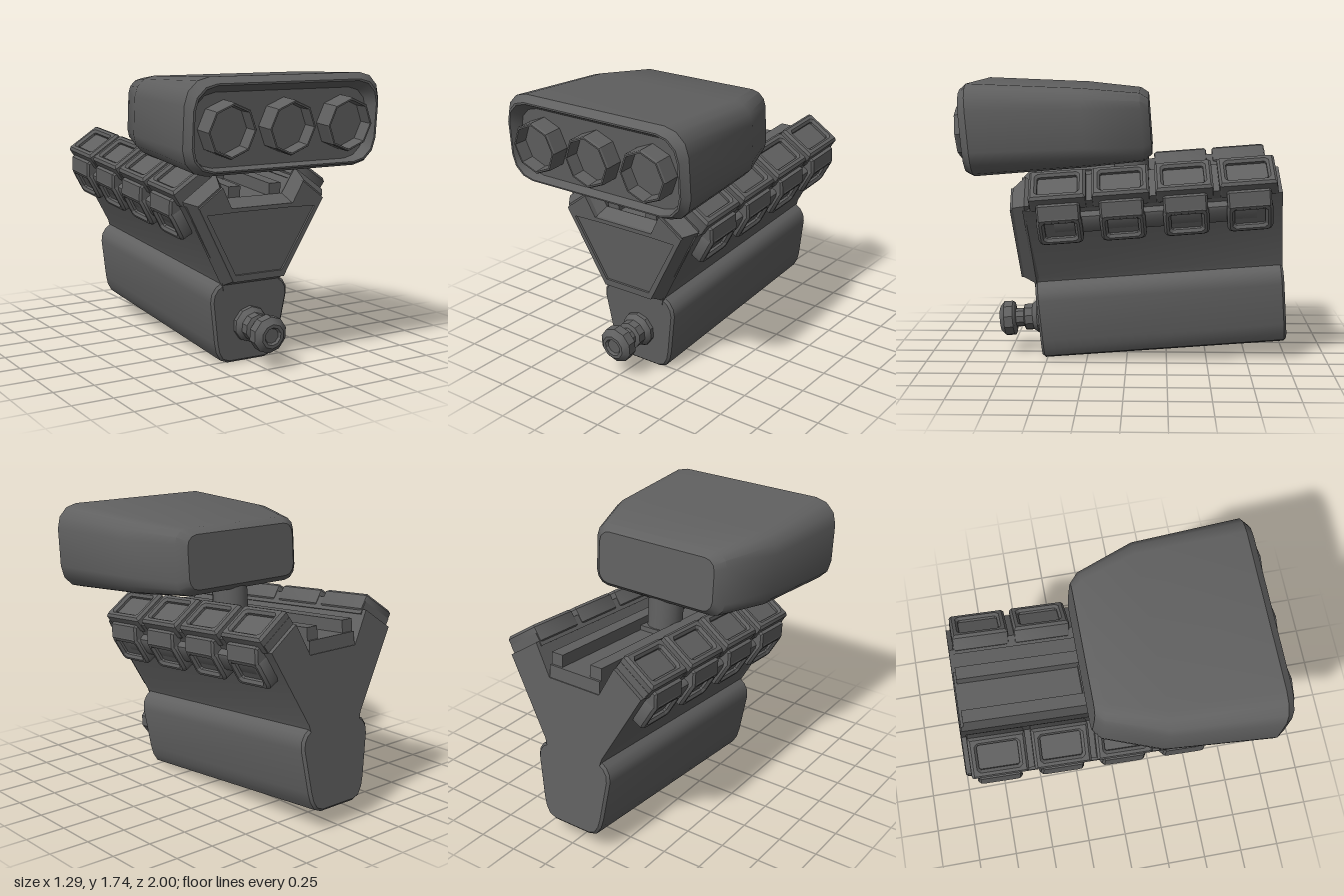
import * as THREE from 'three';
import { toCreasedNormals } from 'three/addons/utils/BufferGeometryUtils.js';

const TILT = 0.078;
const material = new THREE.MeshStandardMaterial({ color: 0x606060, side: THREE.DoubleSide });

function add(parent, name, geometry, crease = 0.5) {
  const mesh = new THREE.Mesh(toCreasedNormals(geometry, crease), material);
  mesh.name = name;
  parent.add(mesh);
  return mesh;
}

// closed outline from its right half, listed bottom to top
function mirrored(half) {
  const left = half.map(([x, y]) => [-x, y]).reverse();
  return new THREE.Shape([...half, ...left].map(([x, y]) => new THREE.Vector2(x, y)));
}

// extrusion along z whose bevels stay inside the given outline and length
function extrude(shape, z0, z1, bevel = 0, thick = bevel) {
  const geometry = new THREE.ExtrudeGeometry(shape, {
    depth: z1 - z0 - 2 * thick, bevelEnabled: bevel > 0, bevelSegments: 1,
    bevelSize: bevel, bevelOffset: -bevel, bevelThickness: thick,
  });
  return geometry.translate(0, 0, z0 + thick);
}

// rectangle with each corner cut by the given number of segments
function cutRect(hw, y0, y1, r, segments) {
  const points = [];
  const corners = [[hw - r, y0 + r, -1], [hw - r, y1 - r, 0], [r - hw, y1 - r, 1], [r - hw, y0 + r, 2]];
  for (const [cx, cy, q] of corners) {
    for (let i = 0; i <= segments; i++) {
      const a = (q + i / segments) * Math.PI / 2;
      points.push(new THREE.Vector2(cx + r * Math.cos(a), cy + r * Math.sin(a)));
    }
  }
  return points;
}

// skin through cross-sections [z, halfWidth, bottom, top, corner], front to back, capped at both ends
function loft(sections) {
  const n = 16, position = [], index = [];
  for (const [z, hw, y0, y1, r] of sections) {
    for (const p of cutRect(hw, y0, y1, r, 3)) position.push(p.x, p.y, z);
  }
  for (let s = 0; s < sections.length - 1; s++) {
    for (let i = 0; i < n; i++) {
      const a = s * n + i, b = s * n + (i + 1) % n;
      index.push(a, a + n, b, b, a + n, b + n);
    }
  }
  const last = (sections.length - 1) * n;
  for (let i = 1; i < n - 1; i++) {
    index.push(0, i, i + 1, last, last + i + 1, last + i);
  }
  const geometry = new THREE.BufferGeometry();
  geometry.setAttribute('position', new THREE.Float32BufferAttribute(position, 3));
  geometry.setIndex(index);
  return geometry;
}

// raised block with a sunken panel, standing up along +y
function framedBlock(parent, name, width, length, height, rim, corner) {
  const group = new THREE.Group();
  group.name = name;
  const shape = new THREE.Shape(cutRect(width / 2, -length / 2, length / 2, corner, 2));
  shape.holes.push(new THREE.Path(cutRect(width / 2 - rim, rim - length / 2, length / 2 - rim, 0.01, 1).reverse()));
  add(group, 'frame', extrude(shape, -0.03, height, 0.015).rotateX(-Math.PI / 2));
  add(group, 'panel', new THREE.BoxGeometry(width - rim, height, length - rim).translate(0, height / 2 - 0.03, 0));
  parent.add(group);
  return group;
}

export function createModel() {
  const model = new THREE.Group();
  model.name = 'engine';
  const engine = new THREE.Group();
  engine.name = 'tiltedEngine';
  engine.rotation.x = TILT;
  model.add(engine);

  // Sump and V-shaped block
  add(engine, 'oilPan', extrude(mirrored([
    [0.13, 0.04], [0.18, 0.06], [0.21, 0.11], [0.225, 0.17],
    [0.265, 0.43], [0.26, 0.48], [0.235, 0.52], [0.19, 0.55],
  ]), -1.006, 0.525, 0.015));
  add(engine, 'block', extrude(mirrored([
    [0.19, 0.5], [0.21, 0.57], [0.47, 1.03], [0.28, 1.16], [0.18, 0.97],
  ]), -1.006, 0.53));

  // Front cover with a raised rim around its face
  add(engine, 'frontCover', extrude(mirrored([
    [0.2, 0.53], [0.485, 1.06], [0.275, 1.21], [0.19, 1.06],
  ]), 0.437, 0.597, 0.045, 0.08));
  const rim = mirrored([[0.175, 0.575], [0.425, 1.035], [0.275, 1.145], [0.21, 1.02]]);
  rim.holes.push(mirrored([[0.16, 0.615], [0.37, 0.99], [0.18, 0.995]]));
  add(engine, 'coverRim', extrude(rim, 0.58, 0.61));

  // Banks: valve covers above, exhaust ports outside
  for (const side of [1, -1]) {
    const top = new THREE.Group();
    top.name = side > 0 ? 'leftValveCovers' : 'rightValveCovers';
    top.position.set(side * 0.382, 1.108, 0);
    top.rotation.z = -side * 0.6;
    const outer = new THREE.Group();
    outer.name = side > 0 ? 'leftExhaust' : 'rightExhaust';
    outer.position.set(side * 0.42, 0.945, 0);
    outer.rotation.z = -side * 2.085;
    engine.add(top, outer);

    add(top, 'headRail', new THREE.BoxGeometry(0.235, 0.08, 1.46).translate(0, -0.005, -0.25));
    add(outer, 'manifold', extrude(new THREE.Shape(cutRect(0.065, -0.03, 0.05, 0.025, 2)), -0.85, 0.35));
    const shoulder = [[0.05, -0.03], [0.05, 0.045], [-0.03, 0.05], [-0.045, 0.078], [-0.07, 0.078], [-0.145, 0.035], [-0.145, -0.03]];
    for (let i = 0; i < 4; i++) {
      const z = 0.317 - i * 0.375;
      framedBlock(top, 'valveCover', 0.25, 0.34, 0.085, 0.05, 0.015).position.z = z;
      framedBlock(outer, 'exhaustPort', 0.205, 0.27, 0.08, 0.045, 0.035).position.set(side * 0.017, 0, z);
      // sloped upper edge of the port
      const outline = new THREE.Shape(shoulder.map(([x, y]) => new THREE.Vector2(side * x, y)));
      add(outer, 'portShoulder', extrude(outline, z - 0.13, z + 0.13, 0.012));
    }
  }

  // Valley between the banks
  add(engine, 'valleyFloor', new THREE.BoxGeometry(0.36, 0.1, 1.53).translate(0, 1.0, -0.235));
  for (const side of [1, -1]) {
    add(engine, 'valleyRail', new THREE.BoxGeometry(0.08, 0.12, 1.5).translate(side * 0.14, 1.065, -0.235));
  }
  add(engine, 'intakeStack', new THREE.CylinderGeometry(0.11, 0.11, 0.3, 16).translate(0, 1.17, -0.12));
  add(engine, 'stackCollar', new THREE.BoxGeometry(0.2, 0.04, 0.24).translate(0, 1.06, -0.12));

  // Air scoop, with its mouth folded inward
  add(engine, 'scoop', loft([
    [0.76, 0.575, 1.3, 1.715, 0.13],
    [0.83, 0.6, 1.293, 1.76, 0.135],
    [0.83, 0.612, 1.285, 1.77, 0.14],
    [0.785, 0.645, 1.262, 1.803, 0.15],
    [0.13, 0.605, 1.264, 1.726, 0.12],
    [-0.21, 0.475, 1.264, 1.667, 0.09],
    [-0.26, 0.42, 1.3, 1.63, 0.07],
  ]), 0.6);

  // Three octagonal intakes in the mouth
  const ring = [[0, 0], [0.135, 0], [0.14, 0.08], [0.15, 0.08], [0.156, 0.07], [0.156, -0.04]]
    .map(([r, y]) => new THREE.Vector2(r, y));
  for (const x of [-0.39, 0, 0.39]) {
    add(engine, 'intake', new THREE.LatheGeometry(ring, 8).rotateX(Math.PI / 2).translate(x, 1.518, 0.793));
  }

  // Crank pulley
  const pulley = [
    [0.11, 0.5], [0.11, 0.55], [0.085, 0.58], [0.085, 0.63], [0.06, 0.64], [0.06, 0.69],
    [0.1, 0.695], [0.112, 0.705], [0.112, 0.76], [0.075, 0.79], [0.055, 0.79], [0.045, 0.775], [0, 0.775],
  ].map(([r, z]) => new THREE.Vector2(r, z));
  add(engine, 'crankPulley', new THREE.LatheGeometry(pulley, 10).rotateX(Math.PI / 2).translate(0, 0.277, 0));

  return model;
}
